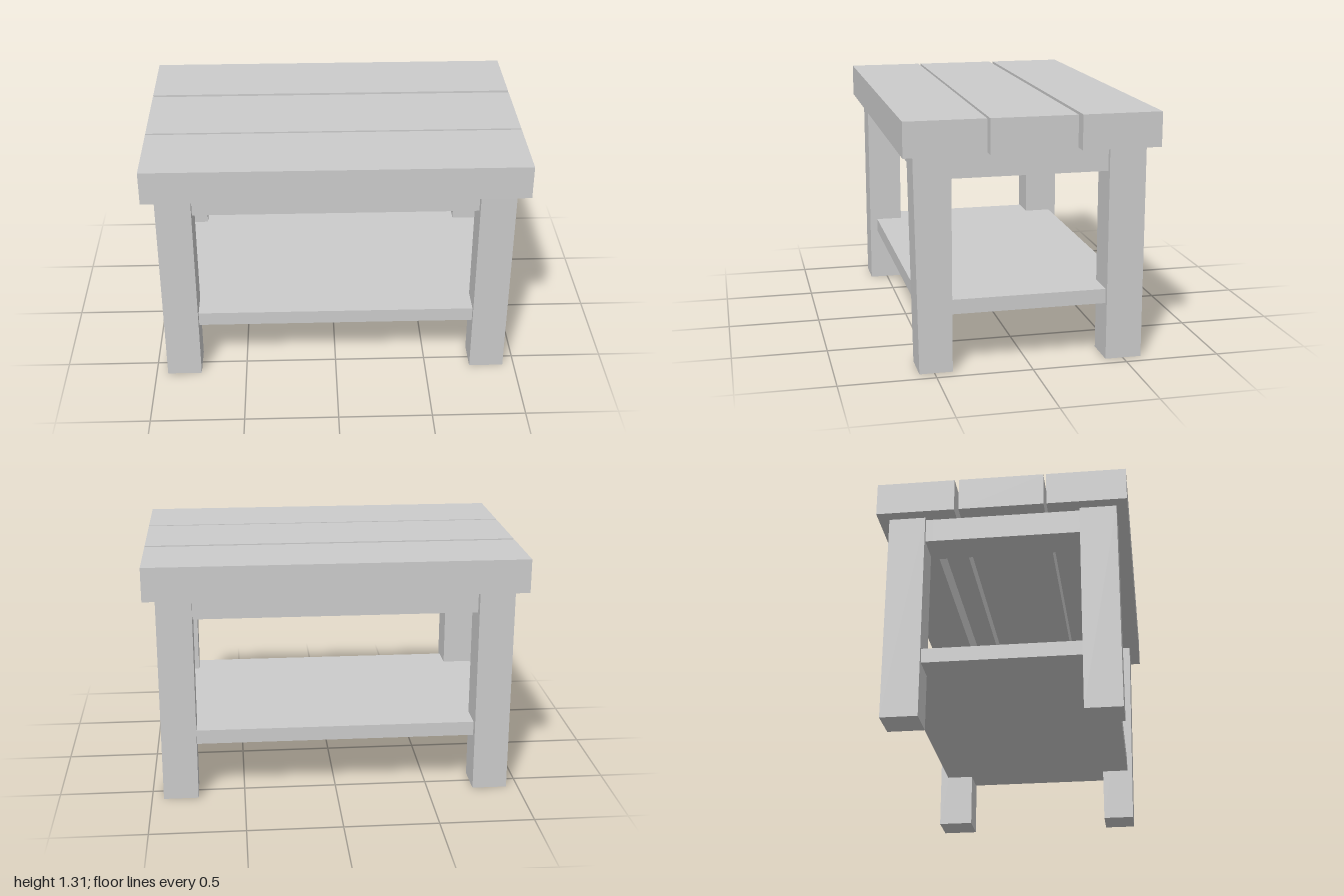
import * as THREE from 'three';

const material = new THREE.MeshStandardMaterial({ color: 0xcccccc, flatShading: true });

// Box given by its lower and upper corner
function block(name, [x0, y0, z0], [x1, y1, z1]) {
  const geometry = new THREE.BoxGeometry(x1 - x0, y1 - y0, z1 - z0);
  geometry.translate((x0 + x1) / 2, (y0 + y1) / 2, (z0 + z1) / 2);
  const mesh = new THREE.Mesh(geometry, material);
  mesh.name = name;
  return mesh;
}

export function createModel() {
  const table = new THREE.Group();
  table.name = 'table';

  // Table top: three thick planks with narrow gaps
  const planks = [['frontPlank', 0.24, 0.655], ['middlePlank', -0.22, 0.225], ['backPlank', -0.655, -0.243]];
  for (const [name, z0, z1] of planks) {
    table.add(block(name, [-1, 1.13, z0], [1, 1.31, z1]));
  }

  // Four square legs
  for (const sx of [-1, 1]) {
    for (const sz of [-1, 1]) {
      const name = (sz > 0 ? 'front' : 'back') + (sx > 0 ? 'Left' : 'Right') + 'Leg';
      const xs = [0.75 * sx, 0.937 * sx].sort((a, b) => a - b);
      const zs = [0.406 * sz, 0.598 * sz].sort((a, b) => a - b);
      const leg = block(name, [xs[0], 0, zs[0]], [xs[1], 1.13, zs[1]]);
      // Slight hand-cut taper on one leg
      if (sx > 0 && sz > 0) {
        const p = leg.geometry.attributes.position;
        for (let i = 0; i < p.count; i++) {
          if (p.getY(i) < 0.5 && p.getZ(i) > 0.5) p.setZ(i, 0.578);
        }
        leg.geometry.computeVertexNormals();
      }
      table.add(leg);
    }
  }

  // Apron rails under the top, running into the legs
  const X = 0.912, Z = 0.555, T = 0.19;
  table.add(block('frontApron', [-X, 1, Z - T], [X, 1.13, Z]));
  table.add(block('backApron', [-X, 1, -Z], [X, 1.13, T - Z]));
  table.add(block('leftApron', [X - T, 1, T - Z], [X, 1.13, Z - T]));
  table.add(block('rightApron', [-X, 1, T - Z], [T - X, 1.13, Z - T]));

  // Lower shelf, its corners let into the legs
  table.add(block('shelf', [-X, 0.298, -Z], [X, 0.375, Z]));

  return table;
}
